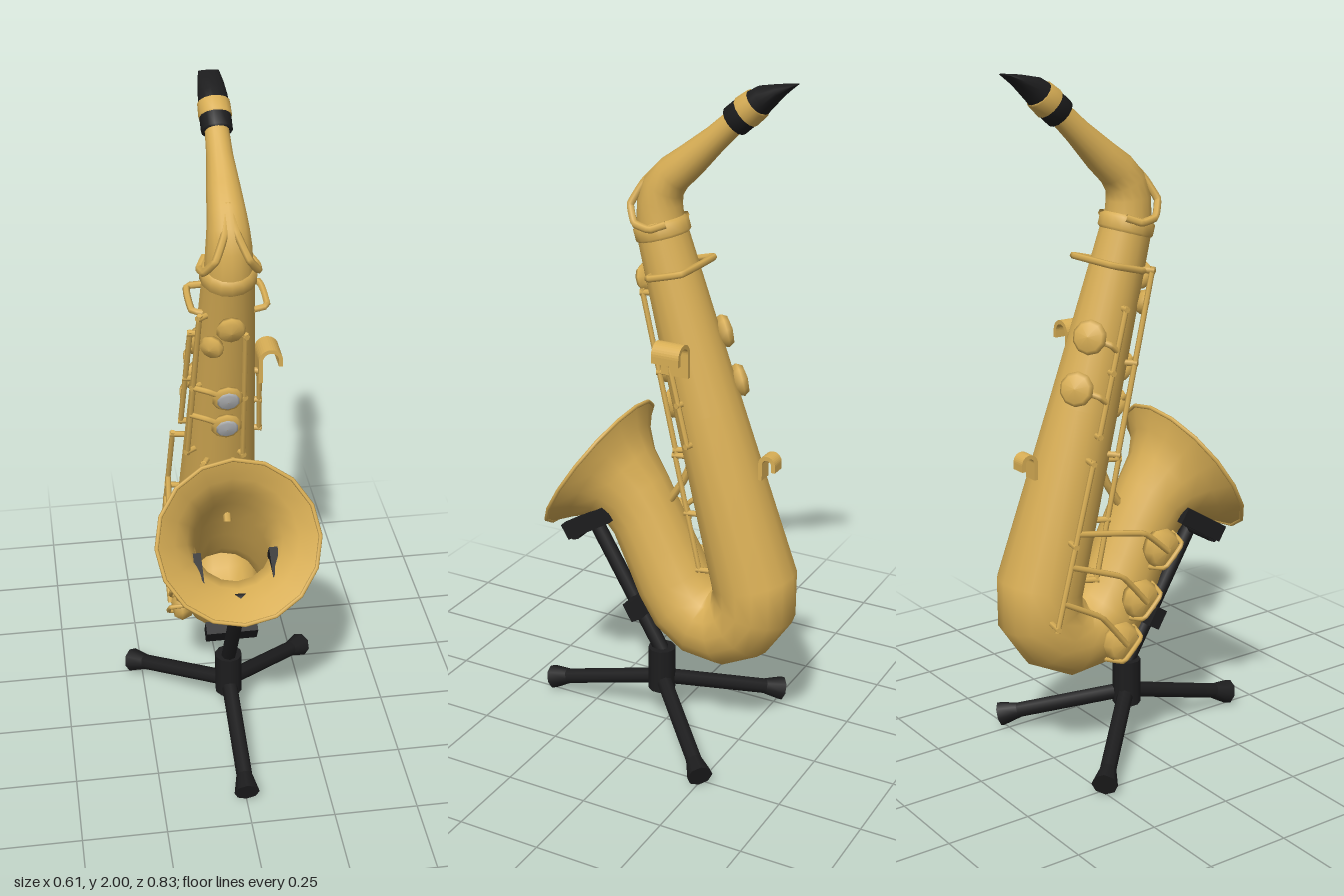
import * as THREE from 'three';

const gold = new THREE.MeshStandardMaterial({ color: 0xd8ae55, side: THREE.DoubleSide });
gold.name = 'brass gold';
const black = new THREE.MeshStandardMaterial({ color: 0x1d1d1e, side: THREE.DoubleSide });
black.name = 'matte black';
const pearl = new THREE.MeshStandardMaterial({ color: 0xb4b6b8 });
pearl.name = 'pearl grey';

const V = (x, y, z) => new THREE.Vector3(x, y, z);
const UP = V(0, 1, 0);

function add(parent, name, geometry, material) {
  const mesh = new THREE.Mesh(geometry, material);
  mesh.name = name;
  parent.add(mesh);
  return mesh;
}

// Skin over oval rings along a path in the yz plane; each station is [z, y, rx, rn]
function loft(stations, sides = 16) {
  const pos = [], index = [];
  stations.forEach(([z, y, rx, rn = rx], i) => {
    const a = stations[Math.max(i - 1, 0)], b = stations[Math.min(i + 1, stations.length - 1)];
    const t = V(0, b[1] - a[1], b[0] - a[0]).normalize();
    for (let j = 0; j < sides; j++) {
      const w = (j / sides) * Math.PI * 2, s = Math.sin(w) * rn;
      pos.push(Math.cos(w) * rx, y + t.z * s, z - t.y * s);
      if (i === 0) continue;
      const k = (j + 1) % sides, p = (i - 1) * sides, q = i * sides;
      index.push(p + j, p + k, q + j, p + k, q + k, q + j);
    }
  });
  const g = new THREE.BufferGeometry();
  g.setAttribute('position', new THREE.Float32BufferAttribute(pos, 3));
  g.setIndex(index);
  g.computeVertexNormals();
  return g;
}

// Bent wire through a few points
function wire(parent, name, points, r = 0.009) {
  const curve = new THREE.CatmullRomCurve3(points, false, 'catmullrom', 0.15);
  return add(parent, name, new THREE.TubeGeometry(curve, points.length * 5, r, 6), gold);
}

// Straight round bar between two points
function bar(parent, name, a, b, r0, r1, material, sides = 8) {
  const d = b.clone().sub(a);
  const mesh = add(parent, name, new THREE.CylinderGeometry(r1, r0, d.length(), sides), material);
  mesh.position.copy(a).addScaledVector(d, 0.5);
  mesh.quaternion.setFromUnitVectors(UP, d.normalize());
  return mesh;
}

// Point and outward normal on the main tube; angle 0 is front, +90 degrees is +x
function onBody(y, angle, lift = 0) {
  const n = V(Math.sin(angle), -0.283 * Math.cos(angle), 0.959 * Math.cos(angle));
  const r = 0.072 + (1.575 - y) * 0.054 + lift;
  const yc = y + 0.283 * r * Math.cos(angle);
  return { p: V(0, yc, 0.016 - (1.575 - yc) * 0.2956).addScaledVector(n, r), n };
}

// Domed key cup facing along n
function pad(parent, name, p, n, r, h, material = gold) {
  const profile = [[0.001, -h / 2], [r * 0.8, -h / 2], [r, 0], [r * 0.8, h * 0.35], [0.001, h / 2]];
  const mesh = add(parent, name, new THREE.LatheGeometry(
    profile.map(([x, y]) => new THREE.Vector2(x, y)), 10), material);
  mesh.position.copy(p);
  mesh.quaternion.setFromUnitVectors(UP, n);
  return mesh;
}

// Key rod standing on posts along the main tube
function keyRod(parent, y0, y1, angle, lift) {
  const g = new THREE.Group();
  g.name = 'keyRod';
  bar(g, 'rod', onBody(y0, angle, lift).p, onBody(y1, angle, lift).p, 0.008, 0.008, gold, 6);
  for (const t of [0.02, 0.5, 0.98]) {
    const y = y0 + (y1 - y0) * t;
    bar(g, 'rodPost', onBody(y, angle, -0.01).p, onBody(y, angle, lift + 0.008).p, 0.009, 0.009, gold, 6);
  }
  parent.add(g);
}

// Arched plate: a leg with a half-round top, extruded by width
function hook(parent, name, leg, r, width) {
  const s = new THREE.Shape(), t = 0.012;
  s.moveTo(0, 0);
  s.lineTo(0, leg);
  s.absarc(r, leg, r, Math.PI, 0, true);
  s.lineTo(2 * r, leg - 0.02);
  s.lineTo(2 * r - t, leg - 0.02);
  s.absarc(r, leg, r - t, 0, Math.PI, false);
  s.lineTo(t, 0);
  const g = new THREE.ExtrudeGeometry(s, { depth: width, bevelEnabled: false, curveSegments: 8 });
  g.translate(0, 0, -width / 2);
  return add(parent, name, g, gold);
}

function buildHorn() {
  const horn = new THREE.Group();
  horn.name = 'horn';

  // Main tube, bow and flaring bell in one skin
  add(horn, 'bodyAndBell', loft([
    [0.018, 1.58, 0.072], [-0.137, 1.06, 0.1], [-0.29, 0.56, 0.127], [-0.291, 0.48, 0.126],
    [-0.25, 0.42, 0.124], [-0.19, 0.39, 0.124], [-0.13, 0.395, 0.122], [-0.07, 0.435, 0.12],
    [-0.025, 0.5, 0.116], [0.02, 0.59, 0.112], [0.065, 0.68, 0.11], [0.105, 0.742, 0.117],
    [0.15, 0.778, 0.14], [0.19, 0.803, 0.18], [0.225, 0.825, 0.235],
  ]), gold);
  const lip = add(horn, 'bellLip', new THREE.TorusGeometry(0.235, 0.006, 6, 16), gold);
  lip.position.set(0, 0.825, 0.225);
  lip.quaternion.setFromUnitVectors(V(0, 0, 1), V(0, 0.532, 0.847));

  // Neck with collar
  add(horn, 'neck', loft([
    [0.01, 1.55, 0.07], [0.018, 1.58, 0.068], [0.02, 1.645, 0.064], [0.008, 1.69, 0.059],
    [-0.022, 1.727, 0.054], [-0.075, 1.77, 0.048], [-0.15, 1.838, 0.037], [-0.23, 1.912, 0.032],
  ]), gold);
  add(horn, 'neckCollar', loft([
    [0.006, 1.545, 0.07], [0.009, 1.555, 0.08], [0.018, 1.585, 0.08], [0.021, 1.595, 0.066],
  ]), gold);

  // Mouthpiece with metal clamp
  add(horn, 'mouthpiece', loft([
    [-0.203, 1.887, 0.02], [-0.205, 1.889, 0.044], [-0.245, 1.923, 0.044], [-0.29, 1.958, 0.041, 0.036],
    [-0.335, 1.981, 0.036, 0.018], [-0.375, 1.998, 0.029, 0.003], [-0.377, 1.999, 0.002, 0.001],
  ], 14), black);
  add(horn, 'mouthpieceClamp', loft([
    [-0.237, 1.916, 0.043], [-0.238, 1.917, 0.0465], [-0.27, 1.943, 0.0455, 0.043], [-0.271, 1.944, 0.04],
  ], 14), gold);

  // Neck key, two mirrored arms
  for (const s of [1, -1]) {
    wire(horn, 'neckKeyArm', [V(0, 1.765, 0), V(s * 0.018, 1.7, 0.06), V(s * 0.045, 1.64, 0.088),
      V(s * 0.074, 1.595, 0.06), V(s * 0.08, 1.585, 0.01), V(s * 0.06, 1.6, -0.03)], 0.011);
  }
  // Loop around the top of the tube
  wire(horn, 'upperLoop', [V(-0.07, 1.45, 0.01), V(-0.1, 1.455, 0), V(-0.1, 1.48, -0.1),
    V(0.1, 1.48, -0.1), V(0.11, 1.455, 0), V(0.07, 1.45, 0.01)], 0.01);

  return horn;
}

function buildKeys() {
  const keys = new THREE.Group();
  keys.name = 'keywork';

  // Rods: [top, bottom, angle, lift]
  for (const [a, b, angle, lift] of [
    [1.46, 0.93, -0.95, 0.025], [1.4, 0.93, 0.45, 0.015], [1.22, 0.98, 1.3, 0.012],
    [0.92, 0.56, 0.25, 0.025], [0.92, 0.56, -0.5, 0.025], [0.95, 0.48, -1.75, 0.035],
    [1.36, 1.0, -1.65, 0.015],
  ]) keyRod(keys, a, b, angle, lift);

  // Front cups, two of them with pearl touches
  for (const [y, angle, r] of [[1.42, 0, 0.042], [1.355, -0.55, 0.036]]) {
    const { p, n } = onBody(y, angle, 0.012);
    pad(keys, 'frontCup', p, n, r, 0.035);
  }
  for (const y of [1.165, 1.06]) {
    const { p, n } = onBody(y, 0, 0.008);
    pad(keys, 'pearlCup', p, n, 0.046, 0.03);
    pad(keys, 'pearlTouch', onBody(y, 0, 0.021).p, n, 0.033, 0.014, pearl);
    wire(keys, 'cupArm', [p, onBody(y + 0.03, -0.5, 0.018).p, onBody(y + 0.03, -0.95, 0.025).p]);
  }

  // Rear side cups
  for (const y of [1.28, 1.14]) {
    const { p, n } = onBody(y, Math.PI + 0.65, 0.012);
    pad(keys, 'sideCup', p, n, 0.05, 0.045);
    wire(keys, 'cupArm', [p, onBody(y - 0.02, -1.9, 0.02).p, onBody(y - 0.04, -1.65, 0.015).p]);
  }

  // Large cups on the side of bell and bow, with arms and guards
  const side = V(-1, 0, 0);
  [[0.64, 0.045, 0.75], [0.5, -0.03, 0.66], [0.385, -0.1, 0.56]].forEach(([y, z, armY]) => {
    pad(keys, 'bellCup', V(-0.134, y, z), side, 0.06, 0.06);
    wire(keys, 'bellCupArm', [V(-0.165, y, z), V(-0.168, (y + armY) / 2 + 0.02, z - 0.09),
      onBody(armY, -1.75, 0.035).p]);
    wire(keys, 'bellCupGuard', [V(-0.1, y + 0.03, z + 0.06), V(-0.17, y + 0.015, z + 0.045),
      V(-0.17, y - 0.045, z - 0.015), V(-0.1, y - 0.06, z - 0.03)], 0.007);
  });

  // Brace between bell and main tube
  wire(keys, 'bellBrace', [V(0, 0.74, -0.005), V(0, 0.82, -0.055), V(0, 0.9, -0.09)], 0.012);

  // Side key plate and rear thumb hook
  hook(keys, 'sideKeyPlate', 0.07, 0.035, 0.085).position.set(0.095, 1.185, -0.083);
  const thumb = hook(keys, 'thumbHook', 0.05, 0.026, 0.045);
  thumb.rotation.y = Math.PI / 2;
  thumb.position.set(0.0, 0.885, -0.305);
  return keys;
}

function buildStand() {
  const stand = new THREE.Group();
  stand.name = 'stand';
  bar(stand, 'hub', V(0, 0.115, 0.015), V(0, 0.255, 0.015), 0.042, 0.042, black, 10);

  // Three legs with flared feet
  for (const angle of [0, 2.35, -2.35]) {
    const at = (d, y) => V(Math.sin(angle) * d, y, 0.015 + Math.cos(angle) * d);
    bar(stand, 'leg', at(0, 0.155), at(0.35, 0.054), 0.024, 0.024, black);
    bar(stand, 'foot', at(0.335, 0.058), at(0.393, 0.04), 0.024, 0.038, black);
  }

  // Sloping upright with lower rest and upper cradle
  bar(stand, 'upright', V(0, 0.22, 0.0), V(0, 0.64, 0.252), 0.023, 0.023, black);
  const rest = add(stand, 'lowerRest', new THREE.BoxGeometry(0.156, 0.06, 0.04), black);
  rest.position.set(0, 0.395, 0.075);
  rest.rotation.x = 0.54;
  bar(stand, 'cradleBar', V(-0.12, 0.637, 0.25), V(0.12, 0.637, 0.25), 0.025, 0.025, black);
  for (const s of [1, -1]) {
    const arm = add(stand, 'cradleArm', new THREE.BoxGeometry(0.03, 0.05, 0.165), black);
    arm.position.set(s * 0.115, 0.678, 0.203);
    arm.rotation.x = 0.55;
  }
  return stand;
}

export function createModel() {
  const model = new THREE.Group();
  model.name = 'saxophoneOnStand';
  model.add(buildHorn(), buildKeys(), buildStand());
  return model;
}
